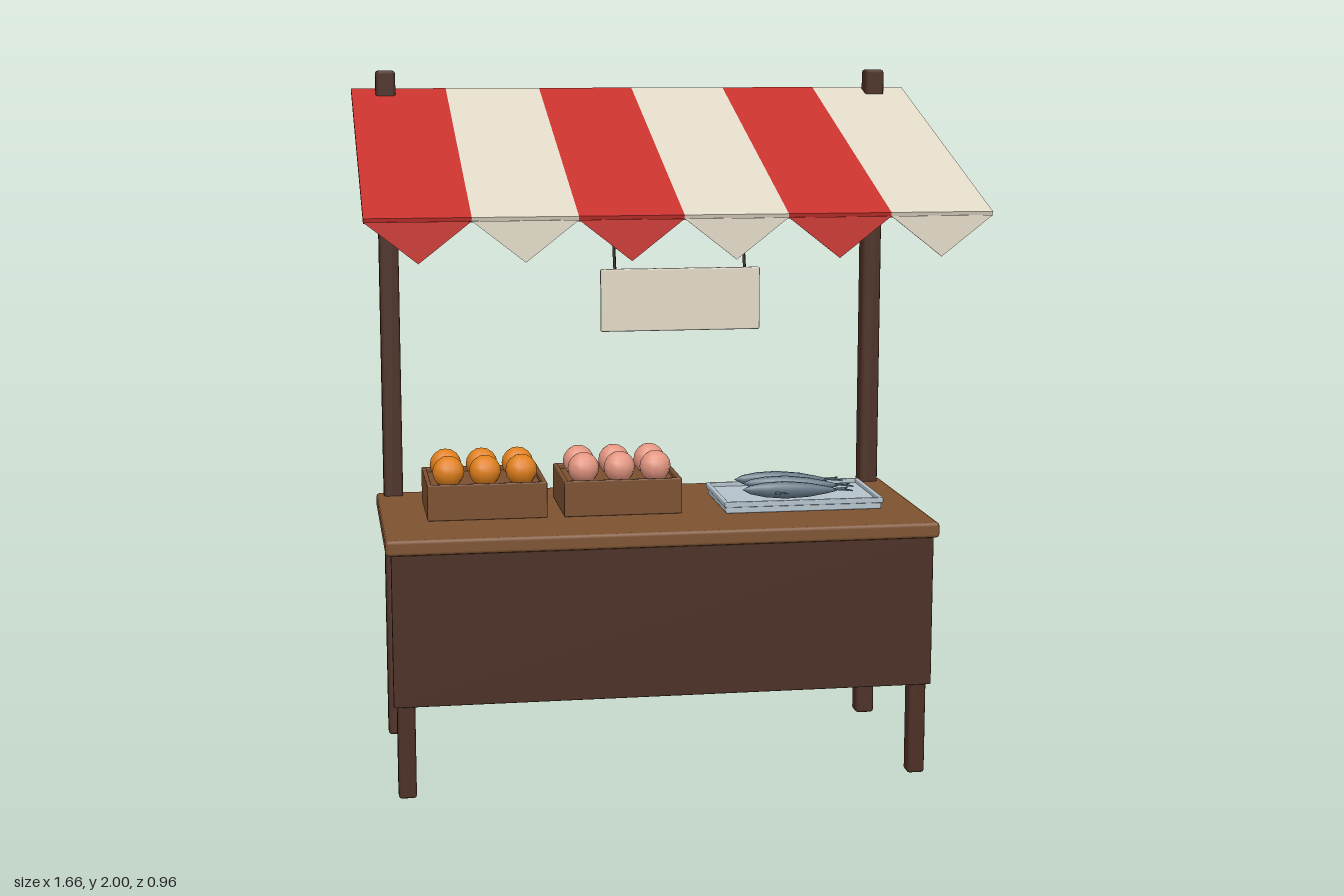
import * as THREE from 'three';
import { RoundedBoxGeometry } from 'three/addons/geometries/RoundedBoxGeometry.js';

const mat = (color, extra = {}) => new THREE.MeshStandardMaterial({ color, ...extra });

export function createModel() {
  const model = new THREE.Group();
  const darkWood = mat(0x4a2e22), topWood = mat(0x7d5230), crateWood = mat(0x7a4e2e);
  const red = mat(0xc8322d, { side: THREE.DoubleSide });
  const cream = mat(0xe0d8c6, { side: THREE.DoubleSide });
  const cord = mat(0x2a201a), metal = mat(0xb4c2cc);

  const add = (parent, name, geometry, material, x = 0, y = 0, z = 0) => {
    const mesh = new THREE.Mesh(geometry, material);
    mesh.name = name;
    mesh.position.set(x, y, z);
    parent.add(mesh);
    return mesh;
  };
  const group = (name, x = 0, y = 0, z = 0) => {
    const g = new THREE.Group();
    g.name = name;
    g.position.set(x, y, z);
    model.add(g);
    return g;
  };
  // Box with a small bevel
  const block = (w, h, d, r = 0.006) => new RoundedBoxGeometry(w, h, d, 1, r);

  // Frame and counter
  for (const s of [-1, 1]) {
    add(model, 'backPost', block(0.057, 2, 0.057, 0.009), darkWood, s * 0.73, 1, -0.438);
    add(model, 'frontLeg', block(0.05, 0.71, 0.05, 0.008), darkWood, s * 0.73, 0.355, 0.165);
  }
  add(model, 'counterTop', block(1.56, 0.044, 0.69, 0.01), topWood, 0, 0.72, -0.129);
  add(model, 'frontPanel', block(1.53, 0.435, 0.017, 0.003), darkWood, 0, 0.485, 0.195);

  // Sloping striped canopy with a pointed valance
  const canopy = group('canopy');
  const stripe = 1.656 / 6, rise = 0.308, run = 0.95;
  const point = new THREE.Shape([
    new THREE.Vector2(-stripe / 2, 0), new THREE.Vector2(0, -0.108), new THREE.Vector2(stripe / 2, 0),
  ]);
  for (let i = 0; i < 6; i++) {
    const x = (i - 2.5) * stripe, cloth = i % 2 ? cream : red;
    const strip = add(canopy, 'canopyStripe',
      new THREE.BoxGeometry(stripe, 0.014, Math.hypot(rise, run)), cloth, x, 1.787, 0);
    strip.rotation.x = Math.atan2(rise, run);
    const flap = new THREE.ExtrudeGeometry(point, { depth: 0.005, bevelEnabled: false });
    add(canopy, 'valancePoint', flap, cloth, x, 1.63, 0.473);
  }

  // Blank hanging sign
  const sign = group('hangingSign');
  add(sign, 'signBoard', block(0.425, 0.165, 0.014, 0.004), cream, 0, 1.413, 0.41);
  for (const x of [-0.174, 0.172]) {
    const path = new THREE.LineCurve3(new THREE.Vector3(x, 1.49, 0.41), new THREE.Vector3(x, 1.672, 0.352));
    add(sign, 'signCord', new THREE.TubeGeometry(path, 1, 0.004, 6), cord);
  }

  // Crates, each holding two rows of three fruits
  const crate = (name, x, color) => {
    const g = group(name, x, 0.742, -0.172);
    const w = 0.342, d = 0.29, h = 0.104, t = 0.014;
    add(g, 'crateBed', new THREE.BoxGeometry(w - t, 0.09, d - t), crateWood, 0, 0.045, 0);
    for (const s of [-1, 1]) {
      add(g, 'crateLongSide', block(w, h, t, 0.004), crateWood, 0, h / 2, s * (d - t) / 2);
      add(g, 'crateShortSide', block(t, h, d, 0.004), crateWood, s * (w - t) / 2, h / 2, 0);
    }
    const fruit = new THREE.SphereGeometry(0.046, 10, 8), skin = mat(color);
    for (let i = -1; i <= 1; i++)
      for (const s of [-1, 1]) add(g, 'fruit', fruit, skin, i * 0.105, 0.126, s * 0.06);
  };
  crate('orangeCrate', -0.48, 0xe0801c);
  crate('peachCrate', -0.09, 0xe39580);

  // Metal tray with a low rim
  const tray = group('fishTray', 0.435, 0.742, -0.152);
  add(tray, 'trayBase', block(0.46, 0.022, 0.3, 0.004), metal, 0, 0.011, 0);
  for (const s of [-1, 1]) {
    add(tray, 'trayLongRim', block(0.47, 0.016, 0.012, 0.003), metal, 0, 0.026, s * 0.148);
    add(tray, 'trayShortRim', block(0.012, 0.016, 0.3, 0.003), metal, s * 0.229, 0.026, 0);
  }

  // Tapered fish lying along x, with forked tails towards +x
  const profile = [[0, -0.16], [0.013, -0.135], [0.022, -0.09], [0.026, -0.03], [0.021, 0.04], [0.011, 0.095], [0.004, 0.125], [0, 0.13]]
    .map(([r, l]) => new THREE.Vector2(r, l));
  const body = new THREE.LatheGeometry(profile, 10).rotateZ(-Math.PI / 2);
  const tail = new THREE.ExtrudeGeometry(new THREE.Shape(
    [[0.115, -0.004], [0.168, -0.026], [0.15, 0], [0.168, 0.026], [0.115, 0.004]]
      .map(([x, y]) => new THREE.Vector2(x, y))), { depth: 0.004, bevelEnabled: false });
  tail.rotateX(-Math.PI / 2);
  const fin = new THREE.ConeGeometry(0.014, 0.05, 4).rotateZ(-Math.PI / 2).scale(1, 0.3, 1);
  const scales = mat(0x5f7280);
  [[-0.012, 0.08, 0.06], [0.008, 0, -0.04], [-0.005, -0.078, 0.05]].forEach(([x, z, turn]) => {
    const fish = new THREE.Group();
    fish.name = 'fish';
    fish.position.set(x, 0.05, z);
    fish.rotation.set(0, turn, -0.04);
    tray.add(fish);
    add(fish, 'fishBody', body, scales).scale.z = 0.85;
    add(fish, 'fishTail', tail, scales);
    for (const s of [-1, 1]) add(fish, 'sideFin', fin, scales, -0.04, -0.006, s * 0.022);
  });

  return model;
}
